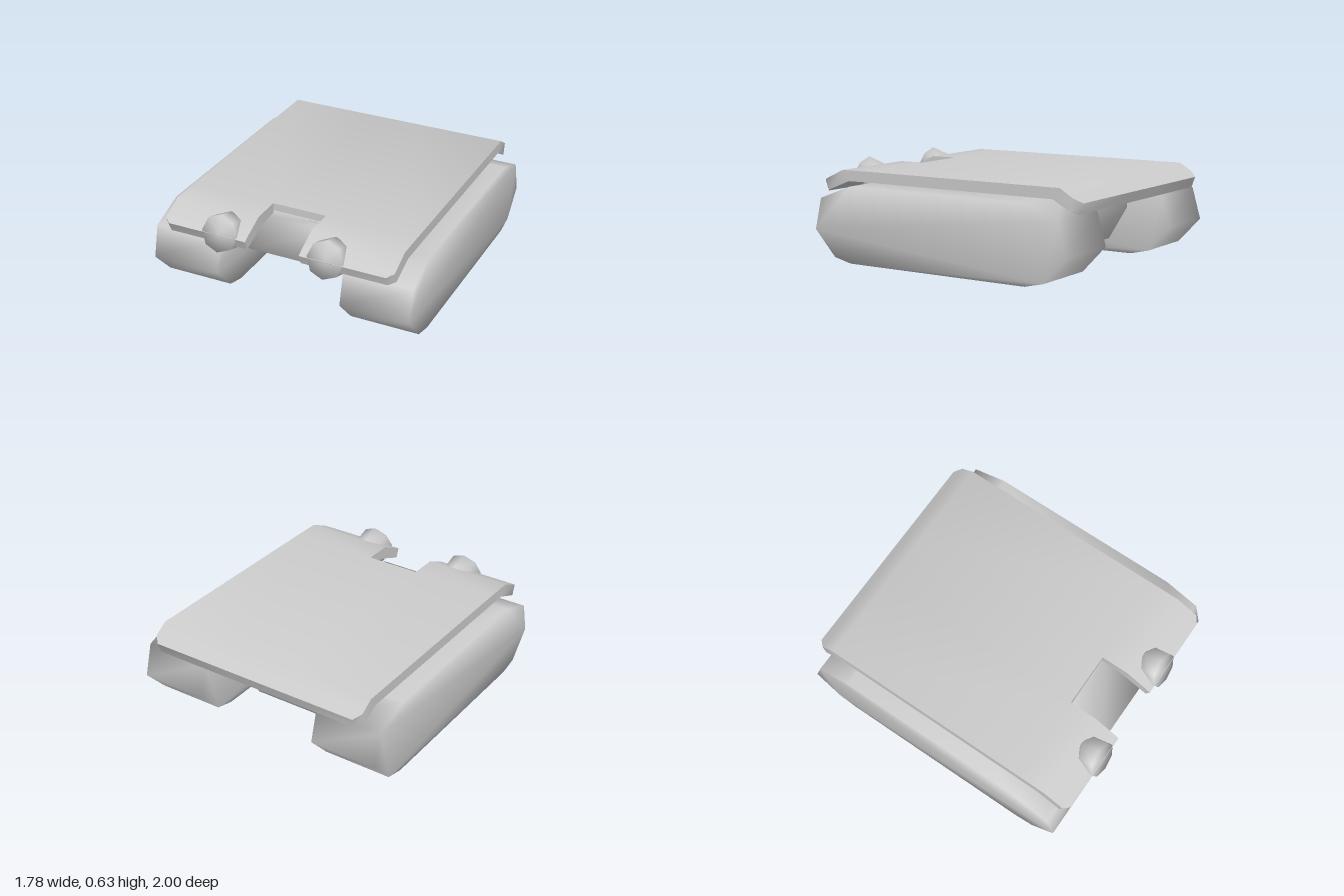
import * as THREE from 'three';
import { mergeVertices, toCreasedNormals } from 'three/addons/utils/BufferGeometryUtils.js';

const material = new THREE.MeshStandardMaterial({ color: 0xcccccc });

function addPart(group, name, geometry) {
  const mesh = new THREE.Mesh(geometry, material);
  mesh.name = name;
  group.add(mesh);
  return mesh;
}

// Weld the corners so shading runs smoothly over the whole part
function smooth(geometry) {
  geometry.deleteAttribute('uv');
  geometry.deleteAttribute('normal');
  const welded = mergeVertices(geometry, 1e-4);
  welded.computeVertexNormals();
  return welded;
}

// Side profile of [z, y] points, extruded across from x0 to x1
function sideProfile(points, x0, x1) {
  const shape = new THREE.Shape(points.map(([z, y]) => new THREE.Vector2(z, y)));
  const geometry = new THREE.ExtrudeGeometry(shape, { depth: x1 - x0, bevelEnabled: false });
  geometry.rotateY(-Math.PI / 2).translate(x1, 0, 0);
  return smooth(geometry);
}

// Bent plate with chamfered corners and a notch in the front flap
function deckGeometry() {
  // each row: top z, top y, bottom z, bottom y, half width
  const rows = [
    [-0.995, 0.505, -0.97, 0.435, 0.745],
    [-0.95, 0.535, -0.93, 0.455, 0.787],
    [-0.86, 0.59, -0.81, 0.52, 0.787],
    [0.6, 0.59, 0.6, 0.52, 0.787],
    [0.79, 0.588, 0.74, 0.518, 0.787],
    [0.935, 0.52, 0.91, 0.45, 0.787],
    [0.97, 0.5, 0.945, 0.437, 0.745],
  ];
  const columnX = (w) => [-w, -0.2, 0.17, w];
  const filled = (r, c) => r >= 0 && r < rows.length - 1 && c >= 0 && c < 3 && !(c === 1 && r >= 3);
  const top = ([r, c]) => [columnX(rows[r][4])[c], rows[r][1], rows[r][0]];
  const bottom = ([r, c]) => [columnX(rows[r][4])[c], rows[r][3], rows[r][2]];
  const positions = [];
  const quad = (a, b, c, d) => positions.push(...a, ...b, ...c, ...a, ...c, ...d);

  for (let r = 0; r < rows.length - 1; r++) {
    for (let c = 0; c < 3; c++) {
      if (!filled(r, c)) continue;
      const k = [[r, c], [r + 1, c], [r + 1, c + 1], [r, c + 1]];
      quad(...k.map(top));
      quad(...k.map(bottom).reverse());
      // walls wherever the neighbouring cell is empty
      const neighbours = [[r, c - 1], [r + 1, c], [r, c + 1], [r - 1, c]];
      neighbours.forEach(([nr, nc], i) => {
        if (filled(nr, nc)) return;
        const p = k[i], q = k[(i + 1) % 4];
        quad(bottom(p), bottom(q), top(q), top(p));
      });
    }
  }
  const geometry = new THREE.BufferGeometry();
  geometry.setAttribute('position', new THREE.Float32BufferAttribute(positions, 3));
  return toCreasedNormals(geometry, Math.PI / 3);
}

export function createModel() {
  const group = new THREE.Group();
  group.name = 'trackedChassis';

  // Two long tracks
  const track = [
    [0.65, 0], [0.78, 0.03], [0.94, 0.2], [0.89, 0.41], [0.65, 0.5],
    [-0.67, 0.5], [-0.91, 0.41], [-0.97, 0.2], [-0.81, 0.03], [-0.68, 0],
  ];
  addPart(group, 'leftTrack', sideProfile(track, 0.428, 0.888));
  addPart(group, 'rightTrack', sideProfile(track, -0.89, -0.43));

  // Central hull, sloping up to a lip at the front
  const hull = [
    [-0.62, 0.125], [0.32, 0.125], [0.89, 0.41], [0.6, 0.48],
    [0.6, 0.54], [-0.75, 0.54], [-0.75, 0.34],
  ];
  addPart(group, 'hull', sideProfile(hull, -0.24, 0.235));

  // Top plate
  addPart(group, 'deck', deckGeometry());

  // Eight-sided lamps tilted upward on the front flap
  for (const [name, x] of [['leftHeadlight', 0.343], ['rightHeadlight', -0.385]]) {
    const lamp = smooth(new THREE.CylinderGeometry(0.122, 0.122, 0.13, 8));
    lamp.rotateX(Math.PI / 2 - 0.3);
    addPart(group, name, lamp).position.set(x, 0.493, 0.902);
  }
  return group;
}
